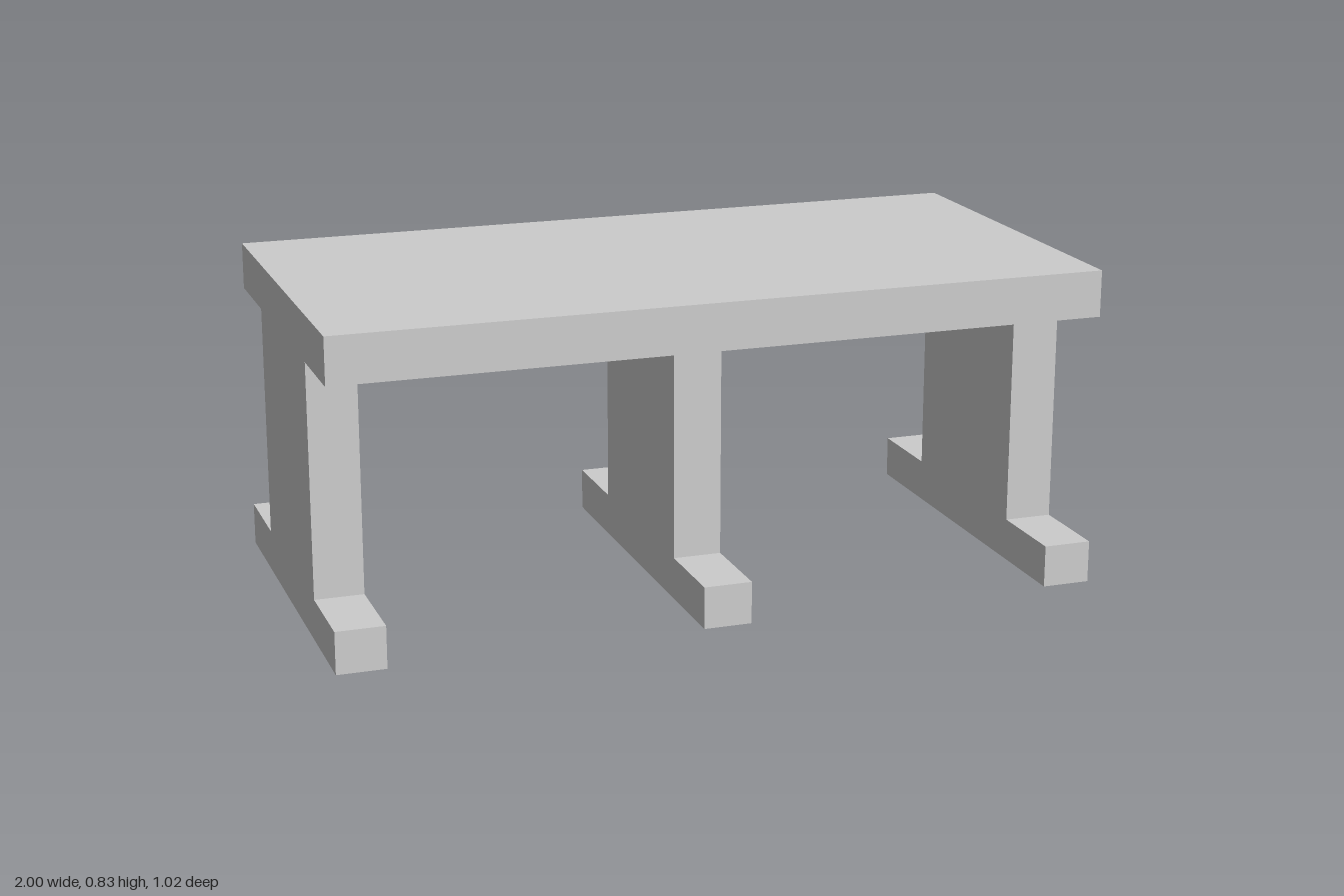
import * as THREE from 'three';

const material = new THREE.MeshStandardMaterial({ color: 0xcccccc, flatShading: true });

const HALF_DEPTH = 0.508;
const TOP_UNDERSIDE = 0.714;
const TOP_HEIGHT = 0.835;
const FOOT_HEIGHT = 0.11;
const LEG_WIDTH = 0.126;

// Inverted-T leg: a long foot with an upright panel, drawn in (z, y) and extruded along x
function legGeometry() {
  const outline = new THREE.Shape([
    [-HALF_DEPTH, 0], [HALF_DEPTH, 0], [HALF_DEPTH, FOOT_HEIGHT], [0.278, FOOT_HEIGHT],
    [0.278, TOP_UNDERSIDE], [-0.268, TOP_UNDERSIDE], [-0.268, FOOT_HEIGHT], [-HALF_DEPTH, FOOT_HEIGHT],
  ].map(([z, y]) => new THREE.Vector2(z, y)));
  return new THREE.ExtrudeGeometry(outline, { depth: LEG_WIDTH, bevelEnabled: false })
    .translate(0, 0, -LEG_WIDTH / 2)
    .rotateY(-Math.PI / 2);
}

export function createModel() {
  const table = new THREE.Group();
  table.name = 'table';

  // Tabletop slab
  const thickness = TOP_HEIGHT - TOP_UNDERSIDE;
  const top = new THREE.Mesh(new THREE.BoxGeometry(2, thickness, 2 * HALF_DEPTH), material);
  top.name = 'tabletop';
  top.position.y = TOP_UNDERSIDE + thickness / 2;
  table.add(top);

  // Three legs, the outer two flush with the tabletop ends
  const geometry = legGeometry();
  const endX = 1 - LEG_WIDTH / 2;
  for (const [name, x] of [['rightLeg', -endX], ['middleLeg', -0.003], ['leftLeg', endX]]) {
    const leg = new THREE.Mesh(geometry, material);
    leg.name = name;
    leg.position.x = x;
    table.add(leg);
  }
  return table;
}
